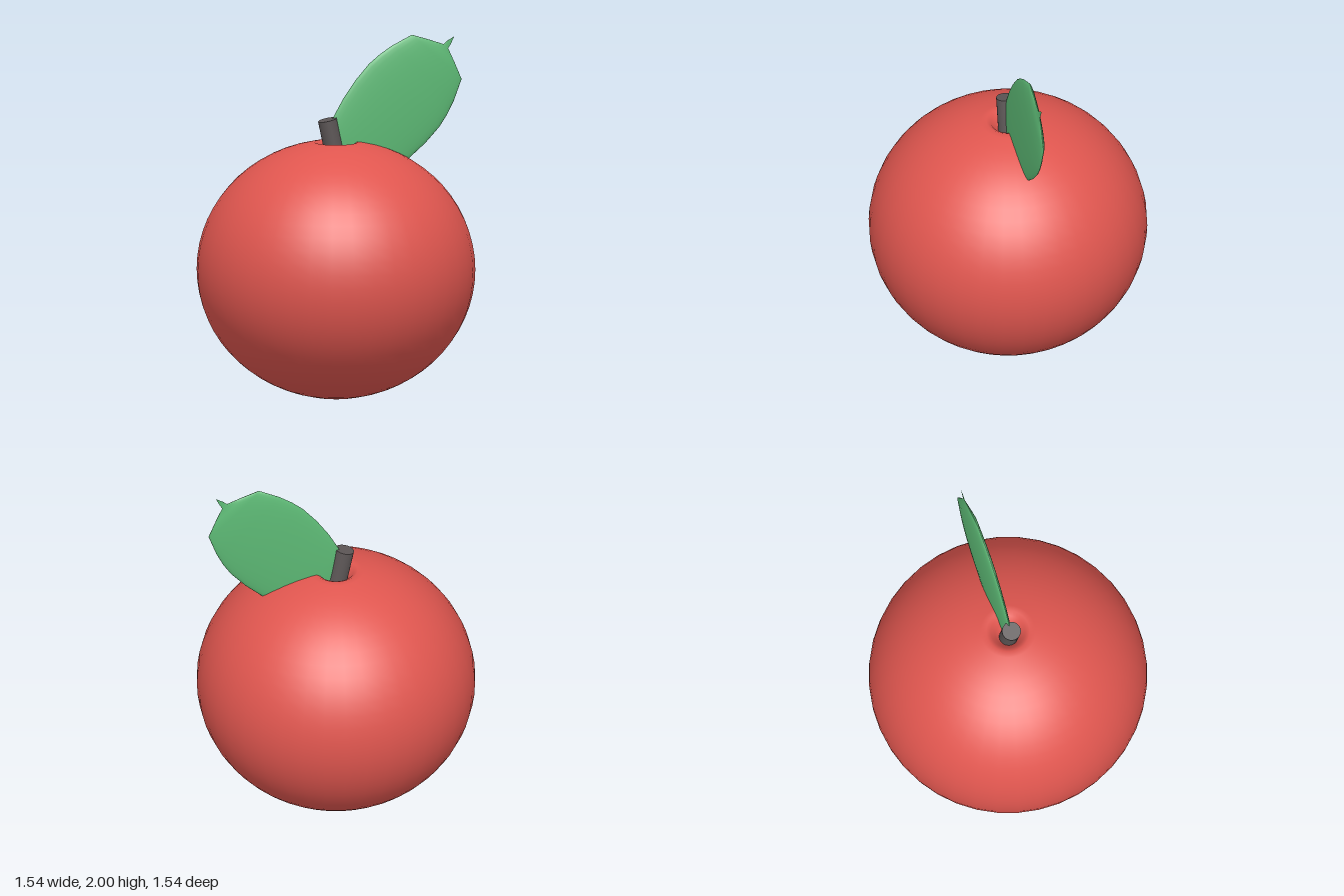
import * as THREE from 'three';

const v = (x, y) => new THREE.Vector2(x, y);

function part(name, geometry, color) {
  const mesh = new THREE.Mesh(geometry, new THREE.MeshStandardMaterial({ color }));
  mesh.name = name;
  return mesh;
}

export function createModel() {
  const group = new THREE.Group();
  group.name = 'fruit';

  // Fruit body: squashed ball with a dimple at each pole
  const profile = [v(0, 0.07), v(0.03, 0.062), v(0.06, 0.035), v(0.09, 0.01), v(0.12, 0)];
  const start = 0.2, rings = 28;
  for (let i = 0; i <= rings; i++) {
    const a = start + (Math.PI - 2 * start) * i / rings;
    profile.push(v(0.77 * Math.sin(a), 0.71 - 0.718 * Math.cos(a)));
  }
  profile.push(v(0.12, 1.419), v(0.095, 1.405), v(0.07, 1.37), v(0.04, 1.33), v(0, 1.31));
  group.add(part('body', new THREE.LatheGeometry(profile, 40), 0xe0564f));

  // Short leaning stem rooted in the top dimple
  const stem = part('stem', new THREE.CylinderGeometry(0.052, 0.052, 0.26, 24), 0x5c5656);
  stem.position.set(-0.023, 1.418, 0);
  stem.rotation.z = 0.21;
  group.add(stem);

  // Leaf: half-width along its axis, turned and flattened, with a small pointed tip
  const outline = [
    [0, -0.88], [0.1, -0.82], [0.19, -0.72], [0.23, -0.64], [0.257, -0.52], [0.272, -0.4],
    [0.274, -0.28], [0.262, -0.2], [0.24, -0.118], [0.193, 0], [0.1, 0.043], [0.018, 0.078],
    [0.014, 0.105], [0, 0.15],
  ].map(([w, s]) => v(w, s));
  const leaf = part('leaf', new THREE.LatheGeometry(outline, 32), 0x5cb874);
  leaf.scale.z = 0.11;
  leaf.rotation.z = -0.736;
  leaf.position.set(0.58, 1.87, 0);
  group.add(leaf);

  return group;
}
